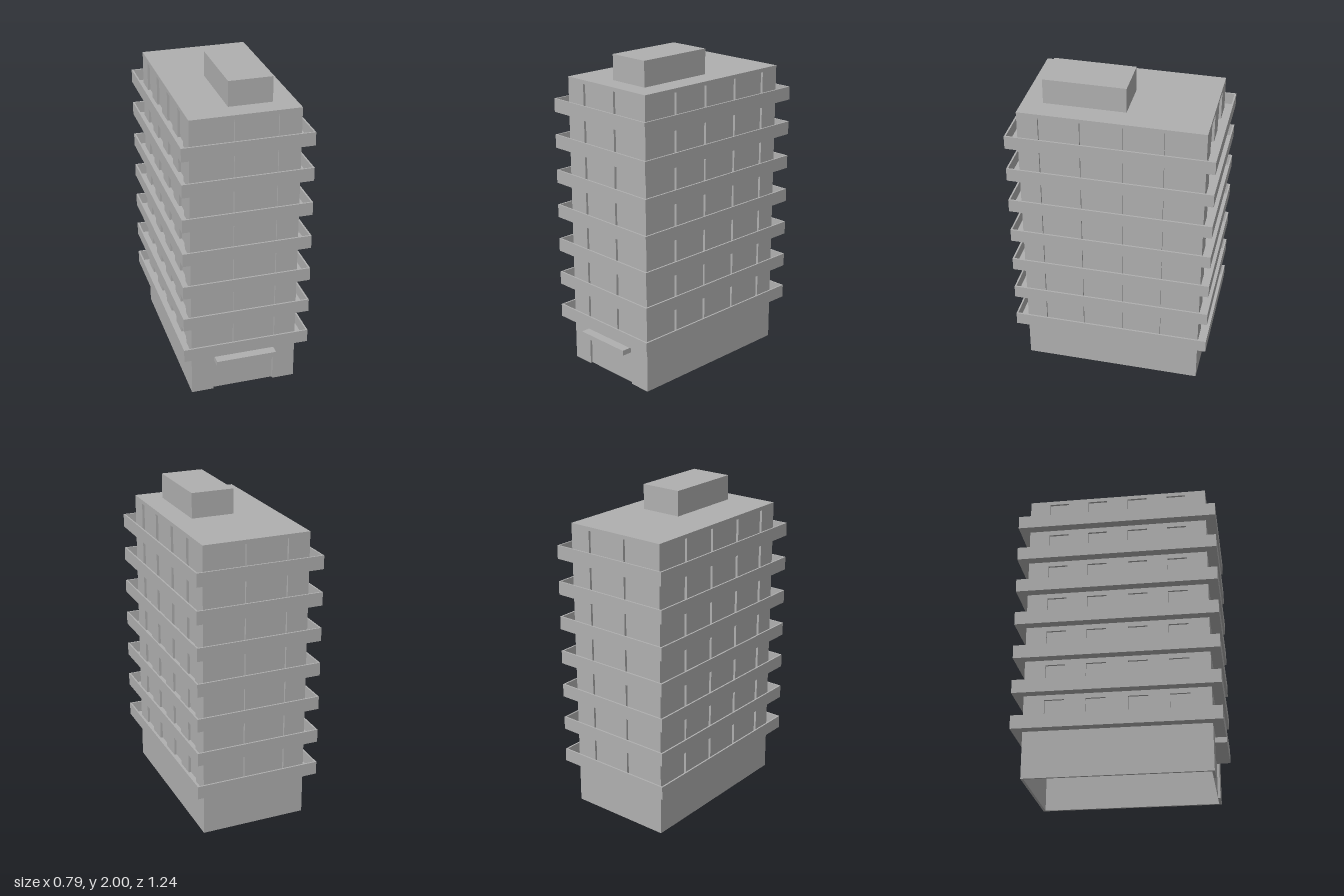
import * as THREE from 'three';

export function createModel() {
  const tower = new THREE.Group();
  tower.name = 'apartmentTower';
  const concrete = new THREE.MeshStandardMaterial({ color: 0xb0b0b0 });
  concrete.name = 'concrete grey';
  concrete.side = THREE.DoubleSide;

  const HX = 0.333, HZ = 0.557, TOP = 1.845; // body half sizes and roof height
  const BX = 0.395, BZ = 0.6185;             // balcony half sizes
  const FLOORS = 7, FIRST = 0.285, STEP = 0.2238;
  const WALL = 0.015, RAIL = 0.01, RAIL_H = 0.083;

  const add = (name, geometry, x = 0, y = 0, z = 0, parent = tower) => {
    const mesh = new THREE.Mesh(geometry, concrete);
    mesh.name = name;
    mesh.position.set(x, y, z);
    parent.add(mesh);
    return mesh;
  };
  const box = (name, x0, x1, y0, y1, z0, z1, parent) =>
    add(name, new THREE.BoxGeometry(x1 - x0, y1 - y0, z1 - z0),
      (x0 + x1) / 2, (y0 + y1) / 2, (z0 + z1) / 2, parent);
  const rect = (Type, x0, y0, x1, y1) => new Type([
    new THREE.Vector2(x0, y0), new THREE.Vector2(x1, y0),
    new THREE.Vector2(x1, y1), new THREE.Vector2(x0, y1),
  ]);

  // Facade sheet with a row of balcony door openings on each floor
  const facade = (half, centres, doorHalf, entrance) => {
    const shape = entrance
      ? new THREE.Shape([
        [-half, 0], [-0.195, 0], [-0.195, 0.215], [0.193, 0.215],
        [0.193, 0], [half, 0], [half, TOP], [-half, TOP],
      ].map(([x, y]) => new THREE.Vector2(x, y)))
      : rect(THREE.Shape, -half, 0, half, TOP);
    for (let i = 0; i < FLOORS; i++) {
      const y = FIRST + i * STEP;
      for (const c of centres) {
        shape.holes.push(rect(THREE.Path, c - doorHalf, y + RAIL, c + doorHalf, y + 0.193));
      }
    }
    return new THREE.ExtrudeGeometry(shape, { depth: WALL, bevelEnabled: false });
  };

  // Outer walls
  const ends = [-0.132, 0.132], sides = [-0.372, -0.126, 0.126, 0.372];
  add('frontWall', facade(HX, ends, 0.066, true), 0, 0, HZ - WALL);
  add('backWall', facade(HX, ends, 0.066, false), 0, 0, -HZ);
  for (const s of [1, -1]) {
    const wall = add(s > 0 ? 'leftWall' : 'rightWall',
      facade(HZ - WALL, sides, 0.06, false), s * (HX - WALL), 0, 0);
    wall.rotation.y = s * Math.PI / 2;
  }

  // Core behind the openings; the ground floor stays hollow
  box('upperCore', -HX + WALL, HX - WALL, FIRST, TOP, -HZ + WALL, HZ - WALL);

  // Entrance panel and canopy
  add('entranceDoor', new THREE.PlaneGeometry(0.388, 0.215), -0.001, 0.1075, HZ - WALL);
  box('entranceCanopy', -0.19, 0.19, 0.215, 0.248, HZ - 0.01, 0.6255);

  // Wrap-around balconies: floor plate plus thin parapet
  const ring = rect(THREE.Shape, -BX, -BZ, BX, BZ);
  ring.holes.push(rect(THREE.Path, -BX + RAIL, -BZ + RAIL, BX - RAIL, BZ - RAIL));
  const parapet = new THREE.ExtrudeGeometry(ring, { depth: RAIL_H, bevelEnabled: false });
  parapet.rotateX(-Math.PI / 2);
  for (let i = 0; i < FLOORS; i++) {
    const balcony = new THREE.Group();
    balcony.name = 'balcony' + (i + 1);
    balcony.position.y = FIRST + i * STEP;
    add('parapet', parapet, 0, 0, 0, balcony);
    box('balconyFloor', -BX + RAIL, BX - RAIL, 0, RAIL, -BZ + RAIL, BZ - RAIL, balcony);
    tower.add(balcony);
  }

  // Rooftop plant room
  box('roofHouse', -0.07, 0.197, TOP, 2, -0.063, 0.434);

  tower.position.z = -0.0035;
  const model = new THREE.Group();
  model.name = 'building';
  model.add(tower);
  return model;
}
